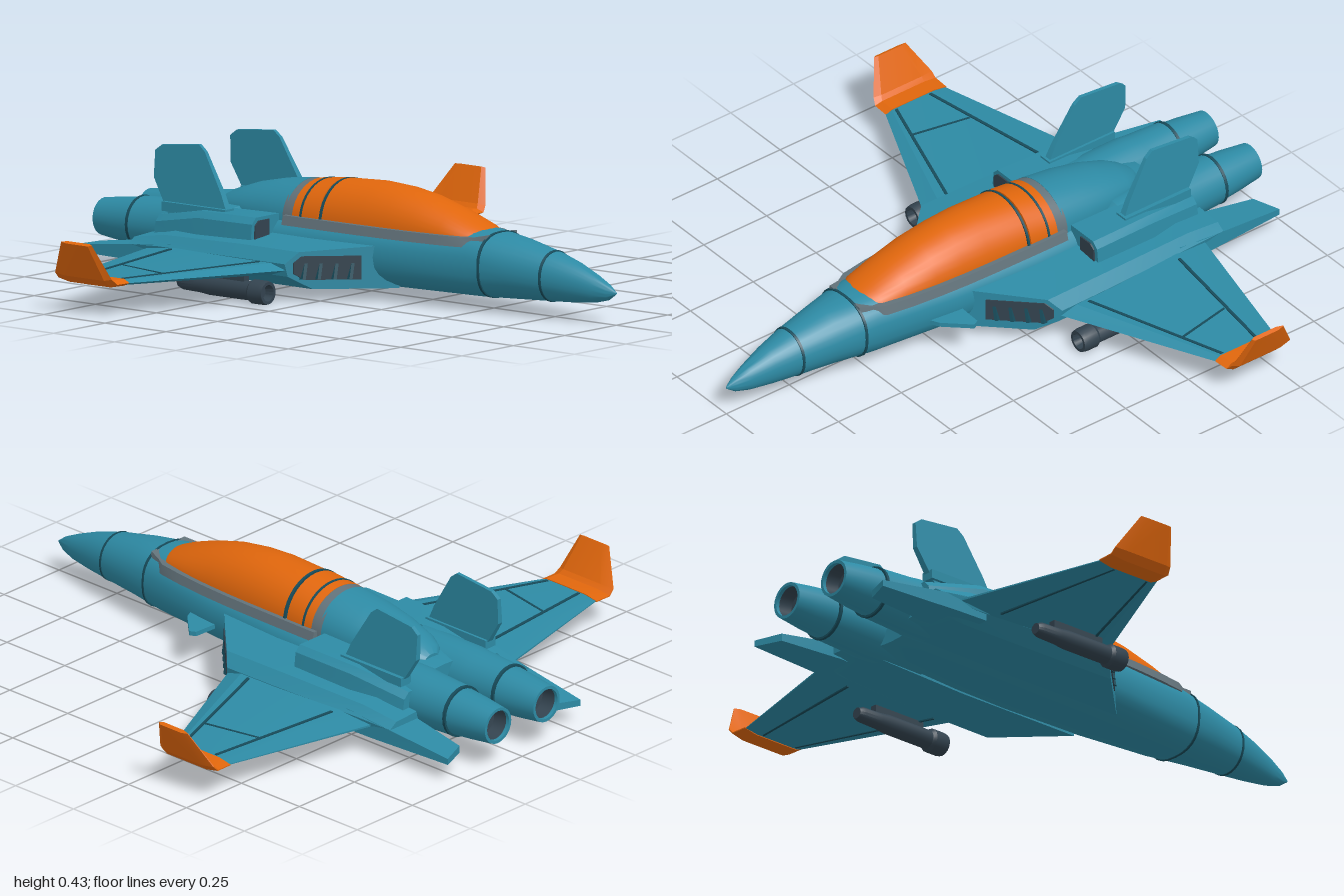
import * as THREE from 'three';
import { toCreasedNormals } from 'three/addons/utils/BufferGeometryUtils.js';

const mat = (name, color) => {
  const m = new THREE.MeshStandardMaterial({ color });
  m.name = name;
  return m;
};

// Skin a list of equal-length rings of [x, y, z], cap both ends, and turn it outward
function loft(rings, crease = 0.6) {
  const n = rings[0].length, tris = [];
  for (let i = 0; i < rings.length - 1; i++) {
    for (let j = 0; j < n; j++) {
      const k = (j + 1) % n, a = rings[i], b = rings[i + 1];
      tris.push(a[j], a[k], b[k], a[j], b[k], b[j]);
    }
  }
  const cap = (ring, flip) => {
    const c = [0, 1, 2].map(d => ring.reduce((s, p) => s + p[d], 0) / n);
    for (let j = 0; j < n; j++) {
      const k = (j + 1) % n;
      tris.push(c, ring[flip ? k : j], ring[flip ? j : k]);
    }
  };
  cap(rings[0], true);
  cap(rings[rings.length - 1], false);
  const v = tris.map(p => new THREE.Vector3(...p));
  const mid = v.reduce((s, p) => s.add(p), new THREE.Vector3()).divideScalar(v.length);
  let volume = 0;
  for (let i = 0; i < v.length; i += 3) {
    const [a, b, c] = [0, 1, 2].map(d => v[i + d].clone().sub(mid));
    volume += a.dot(b.cross(c));
  }
  if (volume < 0) for (let i = 0; i < v.length; i += 3) [v[i + 1], v[i + 2]] = [v[i + 2], v[i + 1]];
  return toCreasedNormals(new THREE.BufferGeometry().setFromPoints(v), crease);
}

// Fuselage stations: x, half width, bottom, top
const BODY = [
  [1, 0.003, 0.099, 0.106], [0.97, 0.018, 0.078, 0.128], [0.92, 0.035, 0.065, 0.152], [0.84, 0.056, 0.057, 0.184],
  [0.75, 0.076, 0.052, 0.21], [0.62, 0.1, 0.045, 0.237], [0.48, 0.122, 0.04, 0.253], [0.2, 0.155, 0.037, 0.25],
  [-0.1, 0.172, 0.036, 0.248], [-0.3, 0.17, 0.04, 0.24], [-0.55, 0.15, 0.05, 0.232], [-0.66, 0.12, 0.07, 0.21]];
const pow = (v, e) => Math.sign(v) * Math.abs(v) ** e;
function bodyRing([x, w, b, t], grow = 0) {
  const e = x > 0.6 ? 0.95 : 0.8;
  return Array.from({ length: 28 }, (_, i) => {
    const a = i / 28 * Math.PI * 2;
    return [x, (b + t) / 2 + ((t - b) / 2 + grow) * pow(Math.sin(a), e), (w + grow) * pow(Math.cos(a), e)];
  });
}
function bodyAt(x) {
  const i = Math.max(1, BODY.findIndex(s => s[0] <= x)), a = BODY[i - 1], b = BODY[i];
  const f = (x - a[0]) / (b[0] - a[0]);
  return a.map((v, d) => v + (b[d] - v) * f);
}

// Half-oval section for the canopy and spine: x, half width, top
const domeRing = ([x, w, t], grow = 0, base = 0.215) => Array.from({ length: 19 }, (_, i) => {
  const a = i / 18 * Math.PI;
  return [x, base + (t - base + grow) * Math.sin(a) ** 0.95, (w + grow) * Math.cos(a)];
});

// Thin aerofoil section between leading and trailing x, thickness along (ny, nz)
const foil = (lead, trail, y, z, t, ny = 1, nz = 0) =>
  [[0, 0], [0.1, 0.5], [0.8, 0.5], [1, 0.08], [1, -0.08], [0.8, -0.5], [0.1, -0.5]]
    .map(([c, h]) => [lead + (trail - lead) * c, y + h * t * ny, z + h * t * nz]);

export function createModel() {
  const teal = mat('teal paint', 0x2d8aa4);
  const orange = mat('orange paint', 0xe0660c);
  const dark = mat('dark metal', 0x33434f);
  const grey = mat('grey frame', 0x62727a);
  const seam = mat('panel seam', 0x174b5a);
  const root = new THREE.Group();
  root.name = 'jet';
  const add = (name, geo, material, parent = root) => {
    const m = new THREE.Mesh(geo, material);
    m.name = name;
    parent.add(m);
    return m;
  };

  // Fuselage with seams round the nose
  add('fuselage', loft(BODY.map(s => bodyRing(s))), teal);
  for (const x of [0.75, 0.53]) {
    add('noseSeam', loft([x + 0.004, x - 0.004].map(p => bodyRing(bodyAt(p), 0.0025))), seam);
  }

  // Canopy, its frame and the spine behind it
  const canopy = [[0.485, 0.075, 0.252], [0.45, 0.096, 0.268], [0.36, 0.11, 0.303], [0.25, 0.121, 0.335],
    [0.15, 0.127, 0.351], [0.05, 0.13, 0.357], [-0.1, 0.132, 0.35]];
  add('canopy', loft(canopy.map(s => domeRing(s))), orange);
  add('canopyRearBand', loft([[-0.11, 0.135, 0.35], [-0.215, 0.135, 0.338]].map(s => domeRing(s))), orange);
  for (const x of [-0.1, -0.18]) {
    add('canopySeam', loft([x + 0.004, x - 0.004].map(p => domeRing([p, 0.137, 0.352 + (p + 0.1) * 0.1]))), seam);
  }
  add('canopyRail', loft([[0.53, 0.075, 0.244], ...canopy.map(([x, w]) => [x, w + 0.014, 0.235]), [-0.24, 0.147, 0.235]]
    .map(([x, w, t]) => [[x, 0.205, w + 0.008], [x, t, w], [x, t, -w], [x, 0.205, -w - 0.008]])), grey);
  add('canopyRearFrame', loft([[-0.215, 0.135, 0.337], [-0.255, 0.133, 0.334]].map(s => domeRing(s))), grey);
  add('spine', loft([[-0.245, 0.133, 0.336], [-0.35, 0.126, 0.323], [-0.45, 0.112, 0.302], [-0.54, 0.09, 0.272],
    [-0.585, 0.065, 0.248], [-0.61, 0.03, 0.23]].map(s => domeRing(s))), teal);

  for (const s of [1, -1]) {
    const side = new THREE.Group();
    side.name = s > 0 ? 'leftSide' : 'rightSide';
    root.add(side);
    const shape = (name, rings, material, crease) =>
      add(name, loft(rings.map(r => r.map(([x, y, z]) => [x, y, z * s])), crease), material, side);
    const strip = (name, p, q, w, h, material) => shape(name, [p, q].map(([x, y, z]) =>
      [[x - w, y - h, z], [x + w, y - h, z], [x + w, y + h, z], [x - w, y + h, z]]), material);

    // Shoulder body with a swept intake face
    const slant = z => 0.125 - (z - 0.17) * 1.02;
    const profile = [[0.1, 0.045], [0.29, 0.045], [0.345, 0.085], [0.352, 0.125], [0.32, 0.163], [0.1, 0.185]];
    shape('shoulderBody', [
      profile.map(([z, y]) => [slant(z), y, z]),
      profile.map(([z, y]) => [-0.27, y, z * 0.99]),
      profile.map(([z, y]) => [-0.6, 0.1 + (y - 0.1) * 0.85, z * 0.94]),
      profile.map(([z, y]) => [-0.73, 0.1 + (y - 0.1) * 0.5, z * 0.9])], teal, 0.4);
    const mouth = [[0.185, 0.075], [0.31, 0.075], [0.334, 0.095], [0.334, 0.128], [0.315, 0.15], [0.185, 0.15]];
    shape('intakeMouth', [-0.004, 0.004].map(d => mouth.map(([z, y]) => [slant(z) + d, y, z])), dark);
    for (const z of [0.21, 0.245, 0.28, 0.313]) {
      shape('intakeVane', [0.077, 0.148].map((y, i) => [[0, 0], [0.014, 0], [0.014, 0.007], [0, 0.007]]
        .map(([dx, dz]) => [slant(z + dz) + dx, y, z + dz - i * 0.014])), seam);
    }

    // Upper duct with its own small intake
    const duct = (x, z0, z1, y) => [[x, 0.11, z0], [x, 0.11, z1 + 0.012], [x, y - 0.02, z1], [x, y, z1 - 0.02], [x, y, z0]];
    shape('upperDuct', [duct(-0.27, 0.13, 0.262, 0.236), duct(-0.5, 0.13, 0.255, 0.232), duct(-0.7, 0.14, 0.22, 0.195)], teal, 0.3);
    shape('upperIntake', [-0.268, -0.263].map(x =>
      [[x, 0.165, 0.185], [x, 0.165, 0.255], [x, 0.212, 0.252], [x, 0.226, 0.235], [x, 0.226, 0.185]]), dark);

    // Engine, nozzle and dark exhaust
    const lathe = (name, pts, material, y, z, n = 24) => {
      const g = new THREE.LatheGeometry(pts.map(([x, r]) => new THREE.Vector2(r, -x)), n);
      const m = add(name, toCreasedNormals(g, 0.5), material, side);
      m.rotation.z = Math.PI / 2;
      m.position.set(0, y, z * s);
      return m;
    };
    lathe('engine', [[-0.4, 0.05], [-0.45, 0.092], [-0.68, 0.092], [-0.72, 0.088], [-0.84, 0.082], [-0.845, 0.077],
      [-0.92, 0.07], [-1, 0.06], [-1, 0.05], [-0.95, 0.05]], teal, 0.145, 0.11);
    lathe('exhaust', [[-0.997, 0.051], [-0.94, 0.045], [-0.93, 0]], dark, 0.145, 0.11);
    lathe('nozzleRing', [[-0.838, 0.079], [-0.838, 0.084], [-0.848, 0.084], [-0.848, 0.075]], seam, 0.145, 0.11);

    // Main wing, panel seams and upturned orange tip
    shape('wing', [foil(-0.02, -0.66, 0.105, 0.29, 0.042), foil(-0.06, -0.645, 0.105, 0.35, 0.036),
      foil(-0.29, -0.525, 0.103, 0.835, 0.017)], teal, 0.3);
    for (const [p, q] of [[[-0.52, 0.124, 0.36], [-0.46, 0.112, 0.825]], [[-0.16, 0.123, 0.36], [-0.325, 0.112, 0.825]]]) {
      strip('wingSeam', p, q, 0.005, 0.0025, seam);
      const under = ([x, y, z]) => [x, 0.208 - y, z];
      strip('wingUnderSeam', under(p), under(q), 0.004, 0.0025, seam);
    }
    shape('wingCrossSeam', [[-0.475, 0.645], [-0.275, 0.685]].map(([x, z]) =>
      [[x, 0.11, z - 0.004], [x, 0.11, z + 0.004], [x, 0.117, z + 0.004], [x, 0.117, z - 0.004]]), seam);
    shape('wingTip', [foil(-0.29, -0.53, 0.103, 0.832, 0.022), foil(-0.292, -0.532, 0.104, 0.89, 0.022, 0.9, -0.4),
      foil(-0.3, -0.53, 0.122, 0.908, 0.022, 0.45, -0.9), foil(-0.34, -0.465, 0.232, 0.957, 0.014, 0.4, -0.9)], orange, 0.3);

    // Upright tail fin
    const fin = [[-0.42, 0.22], [-0.45, 0.285], [-0.525, 0.41], [-0.55, 0.43], [-0.7, 0.415], [-0.727, 0.395], [-0.727, 0.31], [-0.66, 0.2]];
    shape('tailFin', [-1, 1].map(k => fin.map(([x, y]) =>
      [x, y, 0.192 - (y - 0.2) * 0.05 + k * (0.013 - (y - 0.2) * 0.03)])), teal, 0.3);
    strip('finRoot', [-0.55, 0.225, 0.17], [-0.55, 0.225, 0.215], 0.13, 0.015, teal);

    // Flat tailplane beside the engine
    const plane = [[-0.55, 0.2], [-0.55, 0.325], [-0.66, 0.322], [-0.965, 0.302], [-0.93, 0.212], [-0.7, 0.19]];
    shape('tailplane', [0, 1].map(k => plane.map(([x, z]) => [x, 0.063 + k * (0.02 + (x + 0.97) * 0.12), z])), teal, 0.3);

    // Pod and pylon under the wing
    lathe('pod', [[-0.1, 0], [-0.1, 0.022], [-0.07, 0.026], [-0.07, 0.036], [-0.085, 0.039], [-0.125, 0.039], [-0.135, 0.031],
      [-0.3, 0.031], [-0.34, 0.027], [-0.41, 0.025], [-0.43, 0.018], [-0.43, 0]], dark, 0.041, 0.42, 16);
    strip('pylon', [-0.26, 0.08, 0.408], [-0.26, 0.08, 0.432], 0.1, 0.018, dark);
  }

  // Single small fin on the right flank
  const vane = [[0.18, -0.13], [0.3, -0.14], [0.285, -0.17], [0.205, -0.245], [0.185, -0.235]];
  add('flankFin', loft([0.115, 0.13].map(y => vane.map(([x, z]) => [x, y, z])), 0.3), teal);
  return root;
}
